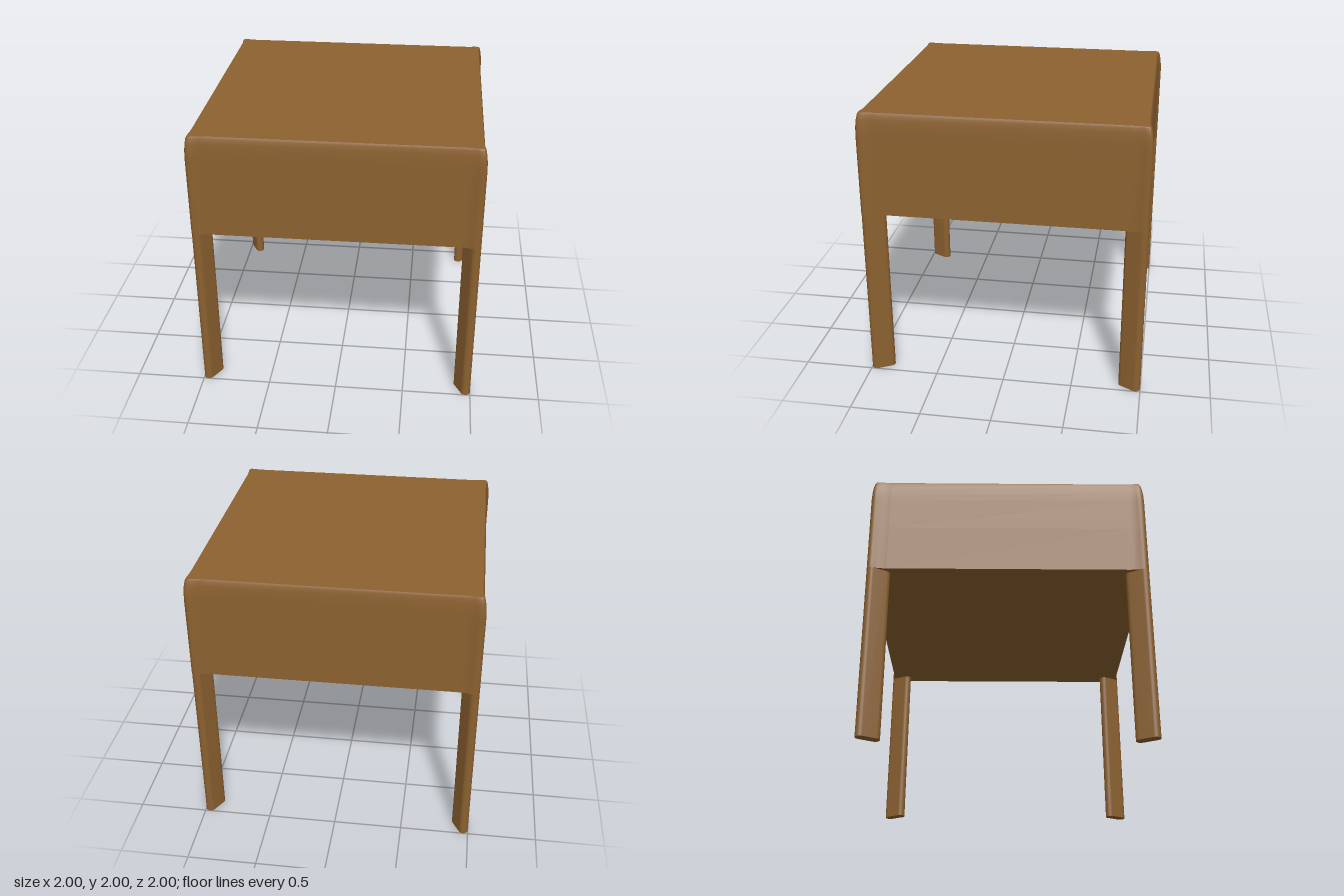
import * as THREE from 'three';
import { mergeGeometries } from 'three/addons/utils/BufferGeometryUtils.js';

// Closed loft through rings of [x, z] points; levels are { y, ring }
function loft(levels) {
  const n = levels[0].ring.length, pos = [], idx = [];
  levels.forEach(({ y, ring }) => ring.forEach(([x, z]) => pos.push(x, y, z)));
  for (let j = 0; j < levels.length - 1; j++) {
    for (let i = 0; i < n; i++) {
      const a = j * n + i, b = j * n + (i + 1) % n;
      idx.push(a, a + n, b, b, a + n, b + n);
    }
  }
  const wall = new THREE.BufferGeometry();
  wall.setAttribute('position', new THREE.Float32BufferAttribute(pos, 3));
  wall.setIndex(idx);
  wall.computeVertexNormals();
  const cap = ({ y, ring }, s) => {
    const shape = new THREE.Shape(ring.map(([x, z]) => new THREE.Vector2(x, s * z)));
    const g = new THREE.ShapeGeometry(shape).rotateX(s * Math.PI / 2).translate(0, y, 0);
    g.deleteAttribute('uv');
    return g;
  };
  return mergeGeometries([wall, cap(levels[0], 1), cap(levels[levels.length - 1], -1)]);
}

// Mirror a corner's points into a quadrant, keeping the winding
function mirror(points, sx, sz) {
  const out = points.map(([x, z]) => [x * sx, z * sz]);
  return sx * sz < 0 ? out.reverse() : out;
}

const CORNERS = [[1, 1, 'frontLeft'], [-1, 1, 'frontRight'], [-1, -1, 'backRight'], [1, -1, 'backLeft']];
const WALL_X = 0.985, WALL_Z = 0.98;

// Apron corner flaring outward into the leg: [x, z]
const FLARE = [
  [0.985, 0.86], [0.986, 0.89], [0.989, 0.92], [0.996, 0.945], [1, 0.965], [0.998, 0.981],
  [0.99, 0.99], [0.981, 0.998], [0.965, 1], [0.945, 0.996], [0.92, 0.986], [0.89, 0.981], [0.86, 0.98],
];

function bodyRing(flare, scale) {
  const corner = FLARE.map(([x, z]) => [
    THREE.MathUtils.lerp(Math.min(x, WALL_X), x, flare) * scale,
    THREE.MathUtils.lerp(Math.min(z, WALL_Z), z, flare) * scale,
  ]);
  return CORNERS.flatMap(([sx, sz]) => mirror(corner, sx, sz));
}

// Flat oval leg section, long axis pointing towards the centre
function legRing() {
  const r = 0.035, outer = [0.965, 0.965], inner = [0.915, 0.875], steps = 10;
  const dir = Math.atan2(outer[1] - inner[1], outer[0] - inner[0]);
  const ring = [];
  [[outer, dir], [inner, dir + Math.PI]].forEach(([c, a]) => {
    for (let i = 0; i <= steps; i++) {
      const t = a - Math.PI / 2 + Math.PI * i / steps;
      ring.push([c[0] + r * Math.cos(t), c[1] + r * Math.sin(t)]);
    }
  });
  return ring;
}

export function createModel() {
  const group = new THREE.Group();
  group.name = 'sideTable';
  const wood = new THREE.MeshStandardMaterial({ color: 0x8c6130 });
  wood.name = 'brown wood';

  // Solid top and apron: height, corner flare, scale
  const profile = [
    [1.26, 1, 1], [1.6, 1, 1], [1.84, 1, 1], [1.9, 0.9, 0.999],
    [1.95, 0.7, 0.996], [1.985, 0.55, 0.991], [2, 0.5, 0.984],
  ];
  const body = new THREE.Mesh(loft(profile.map(([y, f, s]) => ({ y, ring: bodyRing(f, s) }))), wood);
  body.name = 'tabletopAndApron';
  group.add(body);

  // Four legs
  for (const [sx, sz, name] of CORNERS) {
    const ring = mirror(legRing(), sx, sz);
    const leg = new THREE.Mesh(loft([{ y: 0, ring }, { y: 1.265, ring }]), wood);
    leg.name = name + 'Leg';
    group.add(leg);
  }
  return group;
}
